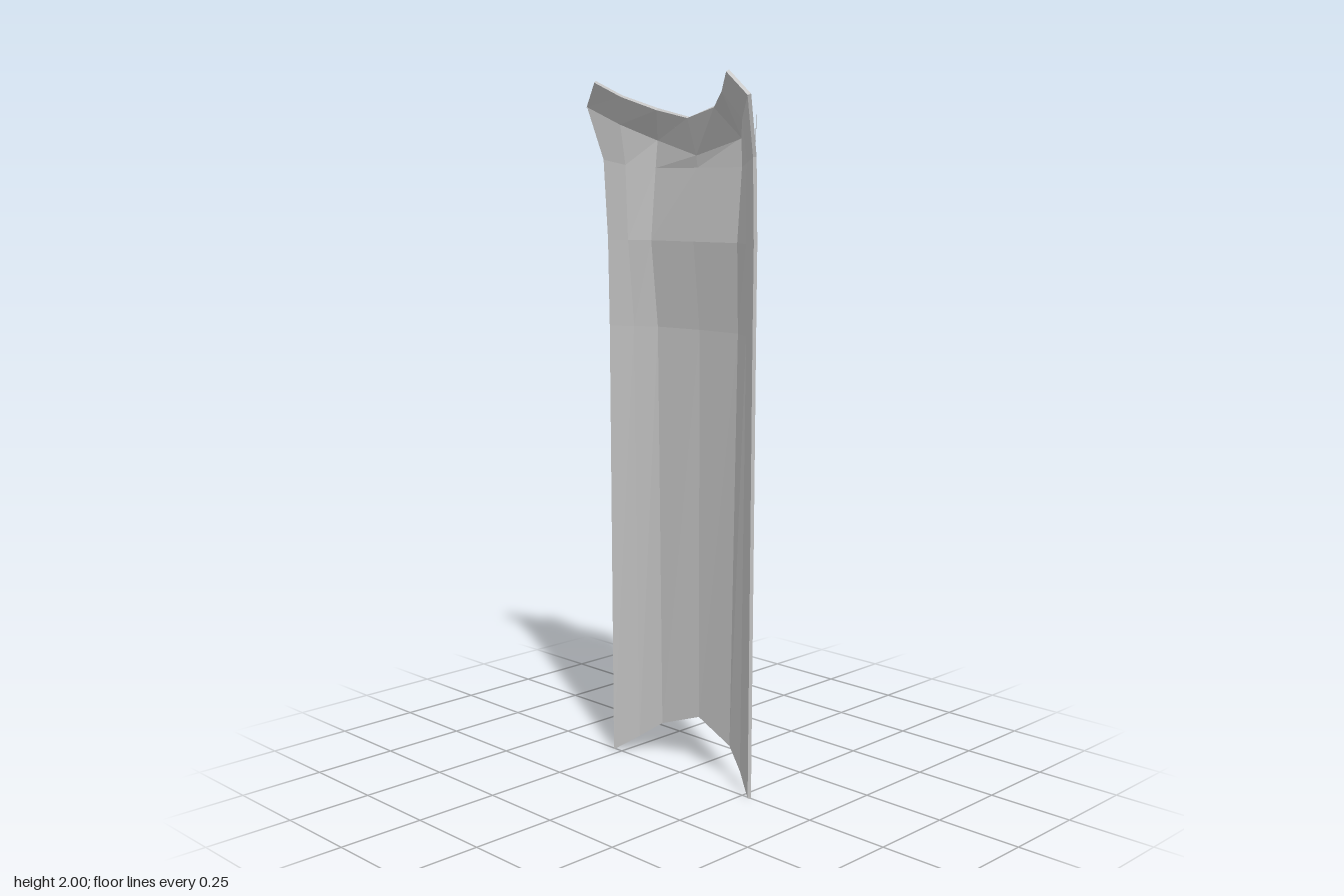
import * as THREE from 'three';

// Half cross-sections from bottom to top, each from the centre line out to the side hem.
const ROWS = [
  [[0, 0.15, -0.085], [0.14, 0.1, -0.07], [0.21, 0.05, -0.04], [0.28, 0, 0.003]],
  [[0, 1.3, -0.085], [0.16, 1.3, -0.074], [0.225, 1.3, -0.038], [0.286, 1.3, 0.003]],
  [[0, 1.55, -0.06], [0.17, 1.55, -0.058], [0.235, 1.55, -0.025], [0.289, 1.55, 0.004]],
  [[0, 1.755, -0.076], [0.17, 1.755, -0.076], [0.24, 1.765, -0.02], [0.294, 1.78, 0.015]],
  [[0, 1.79, -0.07], [0.165, 1.835, -0.079], [0.24, 1.88, 0], [0.316, 1.93, 0.058]],
  [[0, 1.892, -0.034], [0.112, 1.918, -0.023], [0.197, 1.955, 0.035], [0.255, 1.995, 0.083]],
];
const THICK = 0.005; // half thickness of the cloth

// Mirror a half row into a full row running from -x to +x.
function fullRow(half) {
  const right = half.map((p) => new THREE.Vector3(...p));
  const left = right.slice(1).reverse().map((p) => new THREE.Vector3(-p.x, p.y, p.z));
  return [...left, ...right];
}

// Flat-shaded geometry from a list of quads.
function quadGeometry(quads) {
  const pos = [];
  for (const [a, b, c, d] of quads) {
    for (const p of [a, b, c, a, c, d]) pos.push(p.x, p.y, p.z);
  }
  const geo = new THREE.BufferGeometry();
  geo.setAttribute('position', new THREE.Float32BufferAttribute(pos, 3));
  geo.computeVertexNormals();
  return geo;
}

// Thin closed shell around rows of points.
function shell(grid) {
  const nr = grid.length - 1;
  const nc = grid[0].length - 1;
  const at = (j, i) => grid[Math.min(Math.max(j, 0), nr)][Math.min(Math.max(i, 0), nc)];
  const offset = (side) => grid.map((row, j) => row.map((p, i) => {
    const u = at(j, i + 1).clone().sub(at(j, i - 1));
    const v = at(j + 1, i).clone().sub(at(j - 1, i));
    return p.clone().addScaledVector(u.cross(v).normalize(), side * THICK);
  }));
  const F = offset(1);
  const B = offset(-1);
  const quads = [];
  for (let j = 0; j < nr; j++) {
    for (let i = 0; i < nc; i++) {
      quads.push([F[j][i], F[j][i + 1], F[j + 1][i + 1], F[j + 1][i]]);
      quads.push([B[j][i + 1], B[j][i], B[j + 1][i], B[j + 1][i + 1]]);
    }
    // side hems
    quads.push([B[j][0], F[j][0], F[j + 1][0], B[j + 1][0]]);
    quads.push([F[j][nc], B[j][nc], B[j + 1][nc], F[j + 1][nc]]);
  }
  for (let i = 0; i < nc; i++) {
    // bottom hem and top rim
    quads.push([B[0][i], B[0][i + 1], F[0][i + 1], F[0][i]]);
    quads.push([F[nr][i], F[nr][i + 1], B[nr][i + 1], B[nr][i]]);
  }
  return quadGeometry(quads);
}

export function createModel() {
  const group = new THREE.Group();
  group.name = 'cape';
  const cloth = new THREE.MeshStandardMaterial({ color: 0xc0c0c0, flatShading: true, side: THREE.DoubleSide });
  cloth.name = 'grey cloth';

  const rows = ROWS.map(fullRow);
  // The left shoulder corner is a touch higher than the right one.
  rows[5][6].set(0.26, 2.0, 0.085);
  rows[4][6].set(0.318, 1.938, 0.064);

  // Hanging cloth, from the hem up to the shoulders
  const drape = new THREE.Mesh(shell(rows.slice(0, 5)), cloth);
  drape.name = 'drape';
  group.add(drape);

  // Collar flaring forward over the shoulders
  const collar = new THREE.Mesh(shell(rows.slice(4)), cloth);
  collar.name = 'collar';
  group.add(collar);

  // Small folds tucked under the collar corners
  for (const s of [-1, 1]) {
    const [a, b, c, d] = [[0.284, 1.82, 0.0], [0.296, 1.82, 0.016], [0.312, 1.9, 0.03], [0.29, 1.89, 0.005]]
      .map(([x, y, z]) => new THREE.Vector3(s * x, y, z));
    const fold = new THREE.Mesh(quadGeometry([s > 0 ? [a, b, c, d] : [d, c, b, a]]), cloth);
    fold.name = s > 0 ? 'leftFold' : 'rightFold';
    group.add(fold);
  }
  return group;
}
